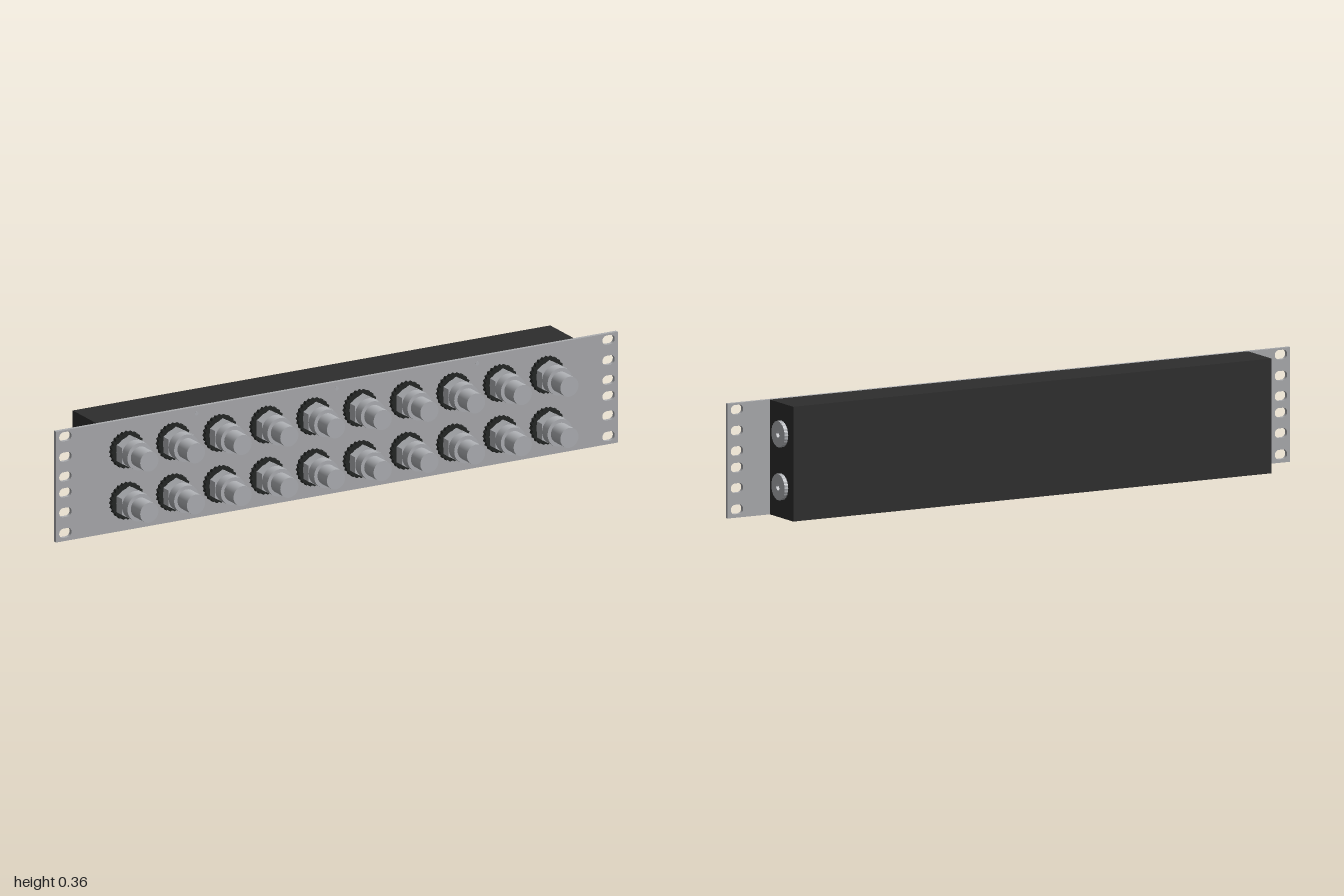
import * as THREE from 'three';

const mat = (name, color) => {
  const m = new THREE.MeshStandardMaterial({ color });
  m.name = name;
  return m;
};

export function createModel() {
  const model = new THREE.Group();
  const panelGrey = mat('panel grey', 0xacadb0);
  const metal = mat('fitting metal', 0xb0b2b6);
  const black = mat('housing black', 0x2d2d2d);
  const rubber = mat('washer black', 0x242625);

  const add = (parent, name, geo, material, x = 0, y = 0, z = 0) => {
    const m = new THREE.Mesh(geo, material);
    m.name = name;
    m.position.set(x, y, z);
    parent.add(m);
    return m;
  };
  // Regular outline; a second radius makes a toothed rim
  const ring = (n, r1, r2 = r1, start = 0) => Array.from({ length: n }, (_, i) => {
    const a = start + (i / n) * Math.PI * 2, r = i % 2 ? r2 : r1;
    return new THREE.Vector2(Math.cos(a) * r, Math.sin(a) * r);
  });
  const extrude = (shape, depth) =>
    new THREE.ExtrudeGeometry(shape, { depth, bevelEnabled: false, curveSegments: 10 });
  // Cylinder along z, starting at z = 0
  const rod = (r, depth) =>
    new THREE.CylinderGeometry(r, r, depth, 32).rotateX(Math.PI / 2).translate(0, 0, depth / 2);

  const H = 0.36, rows = [0.098, 0.264];

  // Rack panel with mounting slots at both ends
  const plate = new THREE.Shape([[-1, 0], [1, 0], [1, H], [-1, H]].map(p => new THREE.Vector2(...p)));
  for (const x of [-0.967, 0.967]) {
    for (const y of [0.026, 0.093, 0.157, 0.209, 0.273, 0.339]) {
      const slot = new THREE.Path();
      slot.absarc(x + 0.007, y, 0.015, -Math.PI / 2, Math.PI / 2, false);
      slot.absarc(x - 0.007, y, 0.015, Math.PI / 2, Math.PI * 1.5, false);
      slot.closePath();
      plate.holes.push(slot);
    }
  }
  add(model, 'rackPanel', extrude(plate, 0.012), panelGrey, 0, 0, -0.006);

  // Manifold housing behind the panel
  add(model, 'manifoldHousing', new THREE.BoxGeometry(1.7, H, 0.146), black, 0, H / 2, -0.079);

  // Small flush panel screws
  const screwGeo = rod(0.006, 0.001);
  for (const x of [-0.5, 0, 0.5])
    for (const y of [0.03, 0.338]) add(model, 'panelScrew', screwGeo, metal, x, y, 0.006);

  // Two rows of couplings
  const washerGeo = extrude(new THREE.Shape(ring(48, 0.06, 0.055)), 0.014);
  const collarGeo = rod(0.042, 0.008);
  const nutGeo = extrude(new THREE.Shape(ring(6, 0.052, 0.052, Math.PI / 2)), 0.032);
  const sleeveGeo = rod(0.0445, 0.034);
  const tipGeo = rod(0.0325, 0.058);
  for (const y of rows) {
    for (let i = 0; i < 10; i++) {
      const c = new THREE.Group();
      c.name = 'coupling';
      c.position.set(-0.752 + i * 0.1662, y, 0);
      add(c, 'lockWasher', washerGeo, rubber, 0, 0, 0.006);
      add(c, 'collar', collarGeo, metal, 0, 0, 0.02);
      add(c, 'hexNut', nutGeo, metal, 0, 0, 0.028);
      add(c, 'sleeve', sleeveGeo, metal, 0, 0, 0.06);
      add(c, 'tip', tipGeo, metal, 0, 0, 0.094);
      model.add(c);
    }
  }

  // End plugs with hexagonal sockets
  const plugShape = new THREE.Shape(ring(48, 0.0415, 0.0405));
  plugShape.holes.push(new THREE.Path(ring(6, 0.012)));
  const plugGeo = extrude(plugShape, 0.013);
  const floorGeo = rod(0.014, 0.003);
  for (const side of [-1, 1]) {
    for (const y of rows) {
      const plug = new THREE.Group();
      plug.name = 'endPlug';
      plug.position.set(side * 0.85, y, -0.079);
      plug.rotation.y = side * Math.PI / 2;
      add(plug, 'plugHead', plugGeo, metal);
      add(plug, 'socketFloor', floorGeo, metal);
      model.add(plug);
    }
  }
  return model;
}
